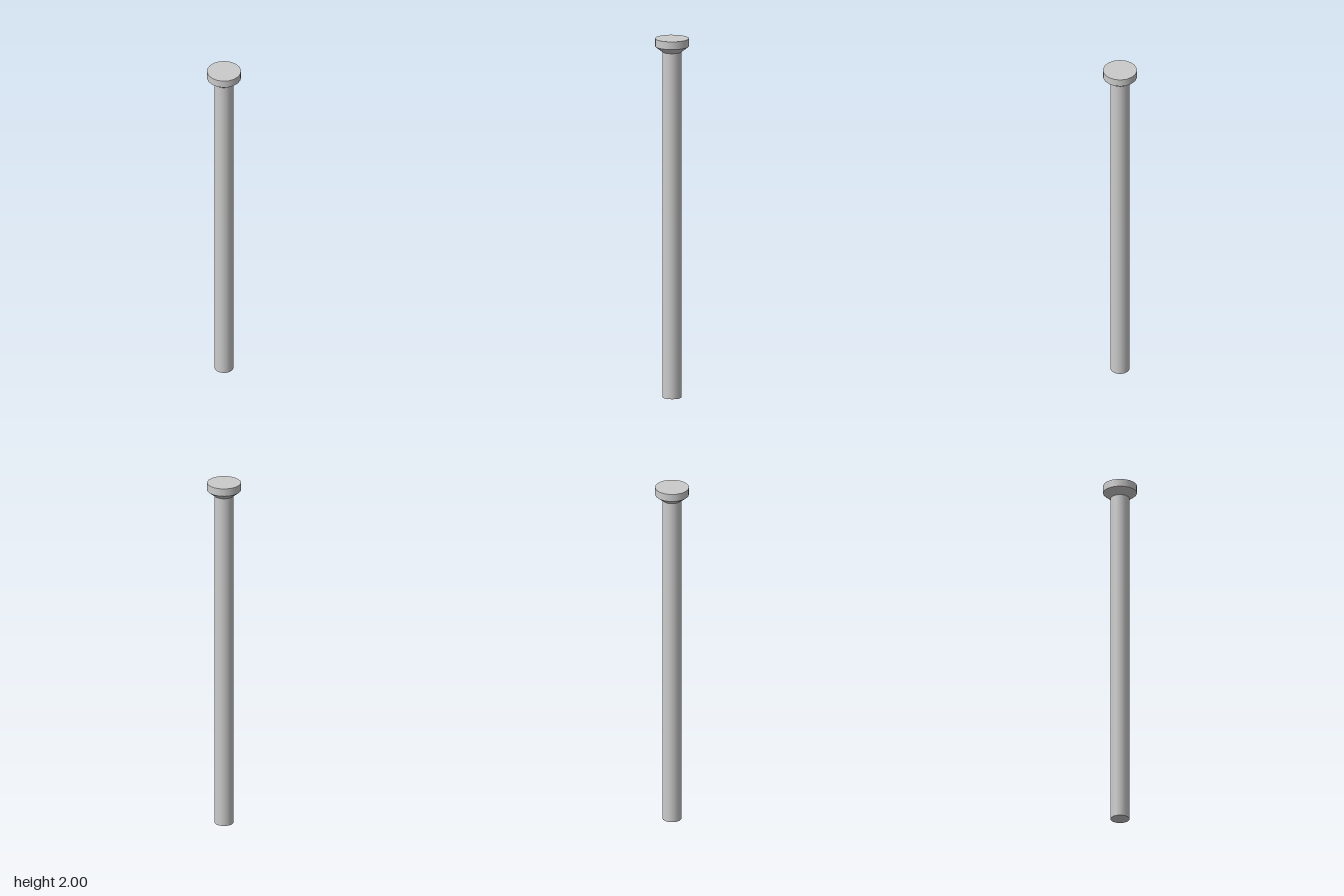
import * as THREE from 'three';

const SIDES = 18;
const SHAFT_R = 0.052, HEAD_R = 0.093;
const NECK_Y = 1.925, RIM_Y = 1.957, TOP_Y = 2;

export function createModel() {
  const group = new THREE.Group();
  group.name = 'pin';
  const material = new THREE.MeshStandardMaterial({ color: 0xcccccc });

  function add(name, geometry) {
    const mesh = new THREE.Mesh(geometry, material);
    mesh.name = name;
    group.add(mesh);
  }

  // Open round section between two heights, with a corner on the x axis
  function section(name, rBottom, rTop, y0, y1) {
    const g = new THREE.CylinderGeometry(rTop, rBottom, y1 - y0, SIDES, 1, true);
    add(name, g.rotateY(Math.PI / 2).translate(0, (y0 + y1) / 2, 0));
  }

  // Flat end disc, facing up or down
  function cap(name, radius, y, up) {
    const g = new THREE.CircleGeometry(radius, SIDES);
    add(name, g.rotateX(up ? -Math.PI / 2 : Math.PI / 2).translate(0, y, 0));
  }

  // Long straight shaft
  section('shaft', SHAFT_R, SHAFT_R, 0, NECK_Y);
  cap('shaftEnd', SHAFT_R, 0, false);

  // Flared underside and flat head
  section('headTaper', SHAFT_R, HEAD_R, NECK_Y, RIM_Y);
  section('headRim', HEAD_R, HEAD_R, RIM_Y, TOP_Y);
  cap('headTop', HEAD_R, TOP_Y, true);

  return group;
}
